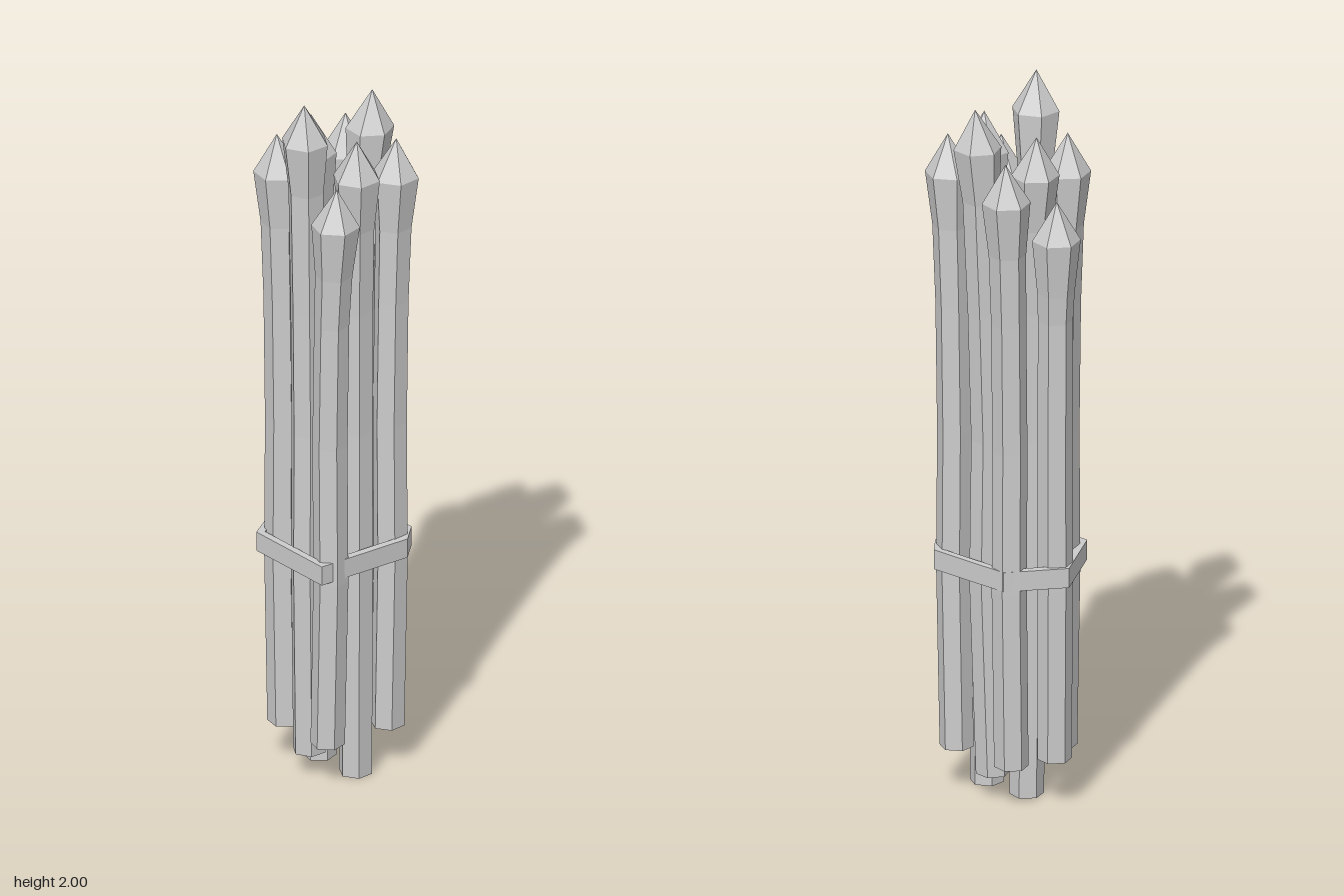
import * as THREE from 'three';

const material = new THREE.MeshStandardMaterial({ color: 0xcccccc, flatShading: true, roughness: 0.9 });
const SIDES = 6;

// One six-sided spear: swept rings along a gently bent path, closed by a pointed bud
function spearGeometry({ base, head, bottom, tip, turn }) {
  const [bx, bz] = base, [hx, hz] = head;
  // [height, share of the way from base to head, radius]
  const rings = [
    [bottom, 0, 0.046],
    [0.62, 0.4, 0.047],
    [1.02, 0.28, 0.047],
    [1.38, 0.5, 0.047],
    [tip - 0.26, 0.76, 0.05],
    [tip - 0.11, 1, 0.065],
  ];
  const pos = [], index = [];
  for (const [y, t, r] of rings) {
    const cx = bx + (hx - bx) * t, cz = bz + (hz - bz) * t;
    for (let i = 0; i < SIDES; i++) {
      const a = turn + (i / SIDES) * Math.PI * 2;
      pos.push(cx + Math.cos(a) * r, y, cz + Math.sin(a) * r);
    }
  }
  const apex = pos.length / 3;
  pos.push(hx + (hx - bx) * 0.15, tip, hz + (hz - bz) * 0.15);
  pos.push(bx, bottom, bz);
  for (let i = 0; i < SIDES; i++) {
    const j = (i + 1) % SIDES;
    for (let k = 0; k < rings.length - 1; k++) {
      const a = k * SIDES + i, b = k * SIDES + j;
      index.push(a, a + SIDES, b, b, a + SIDES, b + SIDES);
    }
    const top = (rings.length - 1) * SIDES;
    index.push(top + i, apex, top + j); // bud
    index.push(i, j, apex + 1); // cut end
  }
  const geo = new THREE.BufferGeometry();
  geo.setAttribute('position', new THREE.Float32BufferAttribute(pos, 3));
  geo.setIndex(index);
  const flat = geo.toNonIndexed();
  flat.computeVertexNormals();
  return flat;
}

// Flat strap wrapped round the bundle
function bandGeometry() {
  const outline = [
    [0.175, 0.157], [0.178, -0.125], [0.125, -0.178],
    [-0.125, -0.155], [-0.218, -0.005], [-0.095, 0.172],
  ];
  const ring = (s) => outline.map(([x, z]) => new THREE.Vector2(x * s, -z * s));
  const shape = new THREE.Shape(ring(1));
  shape.holes.push(new THREE.Path(ring(0.88)));
  const geo = new THREE.ExtrudeGeometry(shape, { depth: 0.055, bevelEnabled: false });
  geo.rotateX(-Math.PI / 2);
  geo.translate(0, 0.635, 0);
  return geo;
}

export function createModel() {
  const group = new THREE.Group();
  group.name = 'spearBundle';

  // Positions are [x, z] at the cut end and at the bud
  const spears = {
    backLeftSpear: { base: [-0.1, -0.105], head: [-0.105, -0.128], bottom: 0.12, tip: 1.84, turn: 0.1 },
    backMiddleSpear: { base: [-0.005, -0.085], head: [0.015, -0.122], bottom: 0.07, tip: 1.96, turn: 0 },
    backRightSpear: { base: [0.11, -0.11], head: [0.127, -0.122], bottom: 0.12, tip: 1.86, turn: 0.4 },
    outerSideSpear: { base: [-0.155, 0], head: [-0.168, -0.005], bottom: 0.13, tip: 1.72, turn: 0.1 },
    innerSpear: { base: [-0.045, 0], head: [-0.083, -0.004], bottom: 0, tip: 1.88, turn: 0.15 },
    middleSideSpear: { base: [0.095, -0.015], head: [0.125, 0.004], bottom: 0, tip: 1.89, turn: 0.45 },
    frontLeftSpear: { base: [-0.07, 0.097], head: [-0.08, 0.112], bottom: 0.12, tip: 1.86, turn: 0.12 },
    frontMiddleSpear: { base: [0.03, 0.09], head: [0.048, 0.118], bottom: 0.07, tip: 2, turn: 0.5 },
    frontRightSpear: { base: [0.125, 0.1], head: [0.16, 0.1], bottom: 0.13, tip: 1.79, turn: 0.25 },
  };
  for (const [name, spec] of Object.entries(spears)) {
    const spear = new THREE.Mesh(spearGeometry(spec), material);
    spear.name = name;
    group.add(spear);
  }

  const band = new THREE.Mesh(bandGeometry(), material);
  band.name = 'band';
  group.add(band);

  return group;
}
